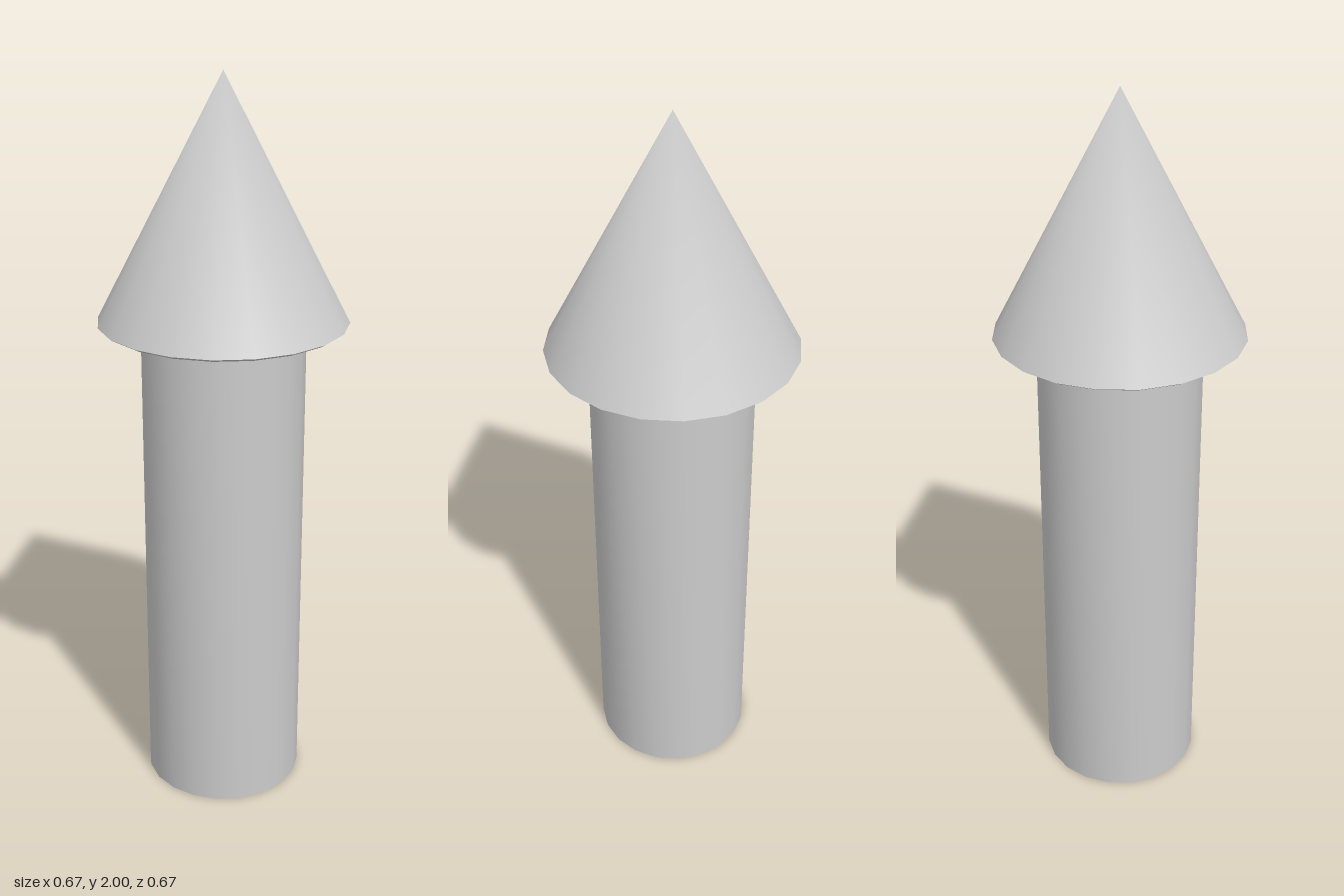
import * as THREE from 'three';
import { mergeVertices } from 'three/addons/utils/BufferGeometryUtils.js';

const SIDES = 20;
const material = new THREE.MeshStandardMaterial({ color: 0xcccccc });

// One smooth band of revolution between two [radius, y] points
function band(name, from, to) {
  const points = [from, to].map(([r, y]) => new THREE.Vector2(r, y));
  let geometry = new THREE.LatheGeometry(points, SIDES);
  geometry.deleteAttribute('uv');
  geometry.deleteAttribute('normal');
  geometry = mergeVertices(geometry, 1e-4);
  geometry.computeVertexNormals();
  const mesh = new THREE.Mesh(geometry, material);
  mesh.name = name;
  return mesh;
}

// Hollow part: a chain of bands with a sharp edge between each
function shell(name, bands) {
  const group = new THREE.Group();
  group.name = name;
  for (const [label, from, to] of bands) group.add(band(label, from, to));
  return group;
}

export function createModel() {
  const model = new THREE.Group();
  model.name = 'cappedTube';

  // Open tube, reaching up to the underside of the cap
  const R = 0.22, r = 0.205, top = 1.54;
  model.add(shell('tube', [
    ['tubeOuterWall', [R, 0], [R, top]],
    ['tubeTopRim', [R, top], [r, top]],
    ['tubeInnerWall', [r, top], [r, 0]],
    ['tubeBottomRim', [r, 0], [R, 0]],
  ]));

  // Hollow conical cap with a thin bevelled rim
  model.add(shell('coneCap', [
    ['coneOuter', [0.333, 1.36], [0, 2]],
    ['coneInner', [0, 1.967], [0.32, 1.352]],
    ['coneRim', [0.32, 1.352], [0.333, 1.36]],
  ]));

  return model;
}
